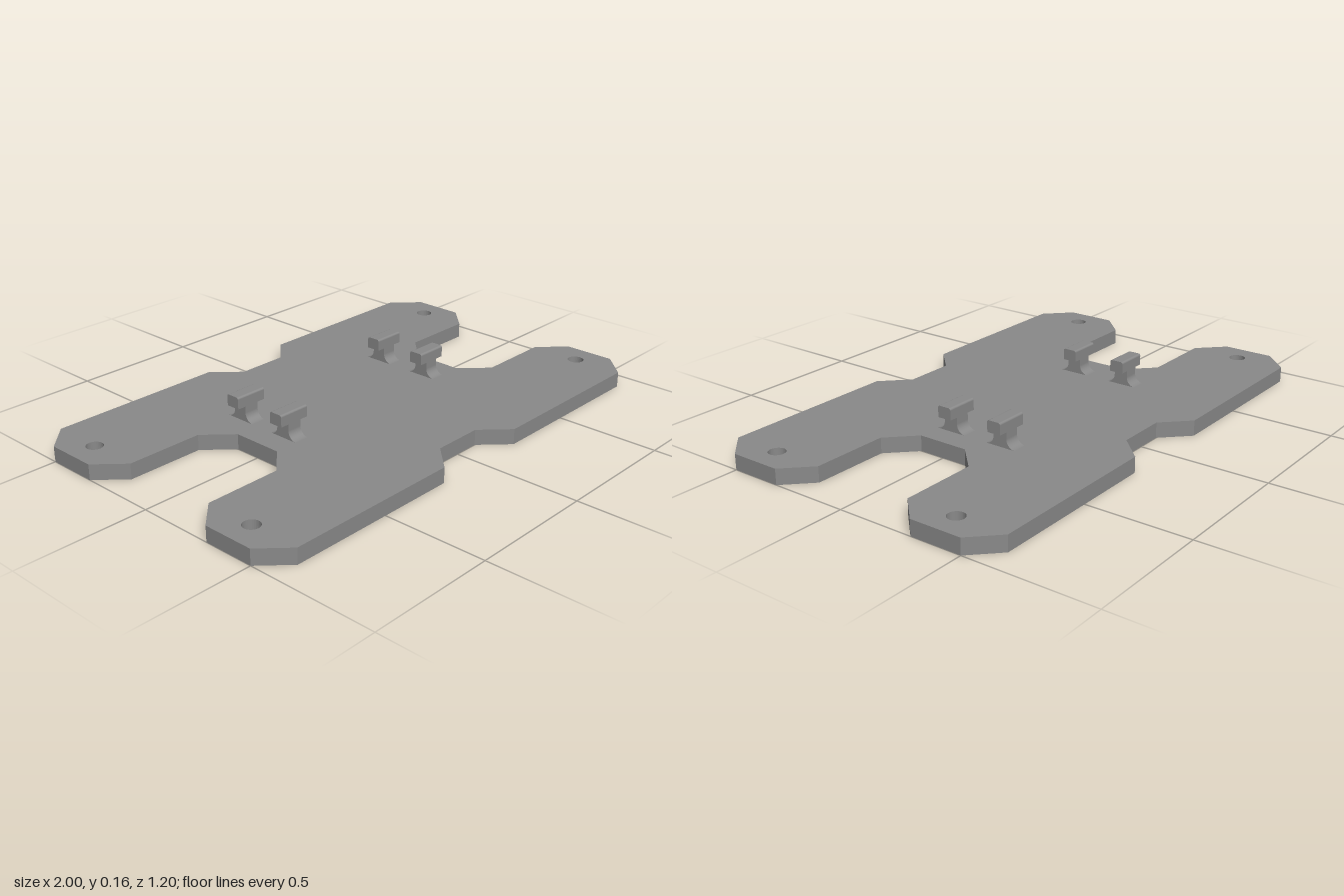
import * as THREE from 'three';

const THICK = 0.06; // plate thickness
const material = new THREE.MeshStandardMaterial({ color: 0x898989, flatShading: true });

// Plate outline: one quadrant mirrored into four, with a bolt hole in each arm
function createPlate() {
  const quarter = [[0.5, 0.1], [0.6, 0.2], [0.9, 0.2], [1, 0.3], [1, 0.5], [0.9, 0.6], [0.2, 0.6], [0.1, 0.5]];
  const back = [...quarter].reverse();
  const outline = [
    ...quarter,
    ...back.map(([x, y]) => [-x, y]),
    ...quarter.map(([x, y]) => [-x, -y]),
    ...back.map(([x, y]) => [x, -y]),
  ];
  const shape = new THREE.Shape(outline.map(([x, y]) => new THREE.Vector2(x, y)));
  for (const x of [-0.9, 0.9]) for (const y of [-0.4, 0.4]) {
    shape.holes.push(new THREE.Path().absarc(x, y, 0.032, 0, Math.PI * 2, true));
  }
  const geometry = new THREE.ExtrudeGeometry(shape, { depth: THICK, bevelEnabled: false, curveSegments: 16 });
  geometry.rotateX(-Math.PI / 2);
  const plate = new THREE.Mesh(geometry, material);
  plate.name = 'basePlate';
  return plate;
}

// Side profile (z, y) extruded to a width centred on x
function extrudeAcross(shape, width, name) {
  const geometry = new THREE.ExtrudeGeometry(shape, { depth: width, bevelEnabled: false, curveSegments: 8 });
  geometry.translate(0, 0, -width / 2).rotateY(-Math.PI / 2);
  const mesh = new THREE.Mesh(geometry, material);
  mesh.name = name;
  return mesh;
}

// T-shaped hook: stem flaring into the plate, with a wider head on top
function createHook() {
  const half = 0.028, flare = 0.035, neck = 0.06, top = 0.105, r = 0.008;

  const stem = new THREE.Shape();
  stem.moveTo(-half - flare, 0);
  stem.lineTo(half + flare, 0);
  stem.absarc(half + flare, flare, flare, -Math.PI / 2, -Math.PI, true);
  stem.lineTo(half, neck);
  stem.lineTo(-half, neck);
  stem.lineTo(-half, flare);
  stem.absarc(-half - flare, flare, flare, 0, -Math.PI / 2, true);

  const head = new THREE.Shape();
  head.moveTo(-half, neck);
  head.lineTo(half, neck);
  head.absarc(half - r, top - r, r, 0, Math.PI / 2, false);
  head.absarc(-half + r, top - r, r, Math.PI / 2, Math.PI, false);

  const hook = new THREE.Group();
  hook.name = 'hook';
  hook.add(extrudeAcross(stem, 0.06, 'hookStem'), extrudeAcross(head, 0.128, 'hookHead'));
  return hook;
}

export function createModel() {
  const model = new THREE.Group();
  model.name = 'mountingPlate';
  model.add(createPlate());
  // Two hooks on each side
  for (const x of [-0.38, 0.38]) for (const z of [0.038, -0.183]) {
    const hook = createHook();
    hook.position.set(x, THICK, z);
    model.add(hook);
  }
  return model;
}
